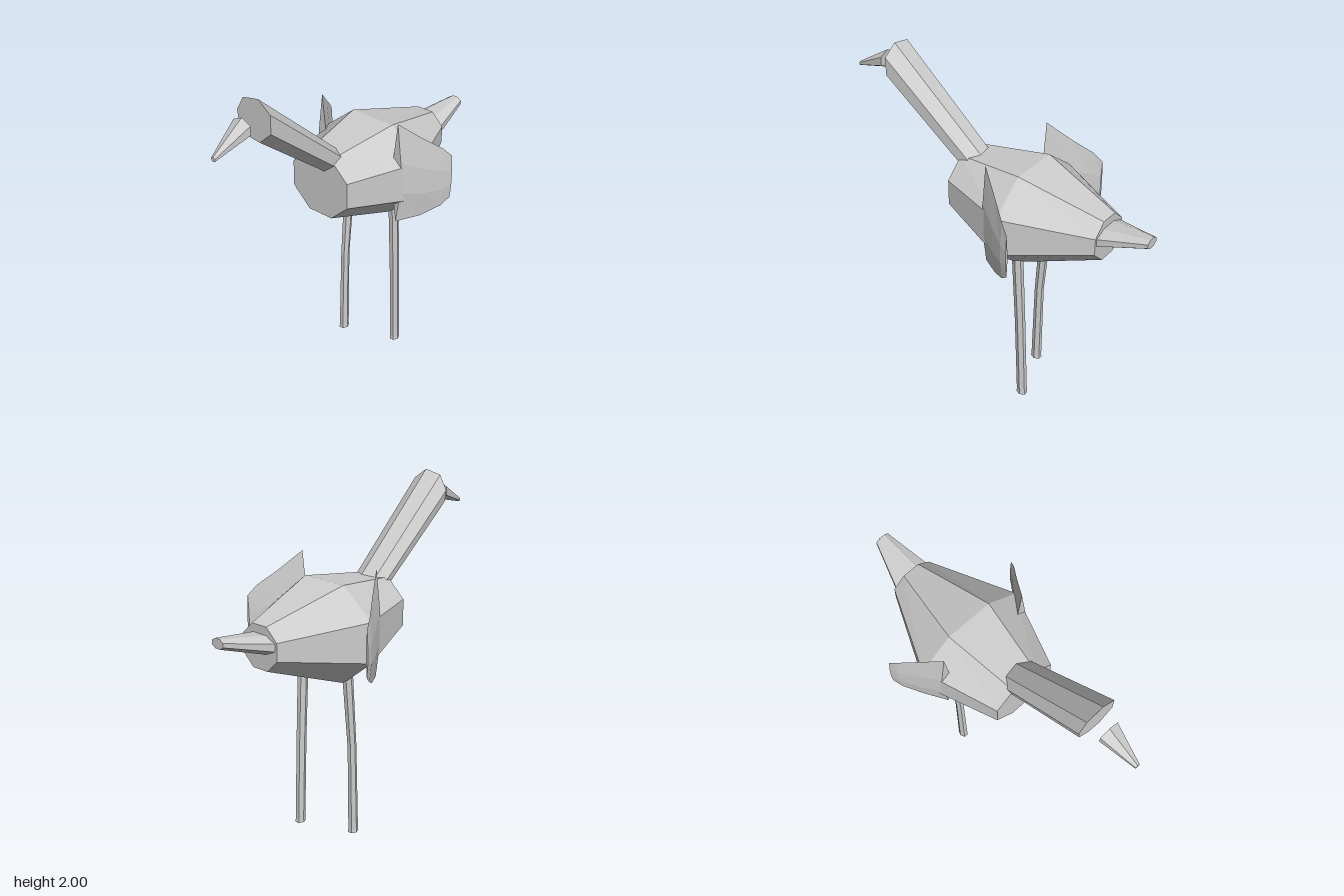
import * as THREE from 'three';

const grey = new THREE.MeshStandardMaterial({ color: 0xcccccc, flatShading: true });
grey.name = 'plain grey';

// Closed faceted skin over rings; rings run counter-clockwise seen from the last ring's end
function loft(name, rings) {
  const pos = [];
  const tri = (...pts) => pts.forEach((p) => pos.push(...p));
  const n = rings[0].length;
  for (let k = 0; k < rings.length - 1; k++) {
    const lo = rings[k], hi = rings[k + 1];
    for (let i = 0; i < n; i++) {
      const j = (i + 1) % n;
      tri(lo[i], lo[j], hi[j]);
      tri(lo[i], hi[j], hi[i]);
    }
  }
  const first = rings[0], last = rings[rings.length - 1];
  for (let i = 1; i < n - 1; i++) {
    tri(first[0], first[i + 1], first[i]);
    tri(last[0], last[i], last[i + 1]);
  }
  const geo = new THREE.BufferGeometry();
  geo.setAttribute('position', new THREE.Float32BufferAttribute(pos, 3));
  geo.computeVertexNormals();
  const mesh = new THREE.Mesh(geo, grey);
  mesh.name = name;
  return mesh;
}

// Outline stretched to half-sizes (hx, hy) around (x, y) at depth z
const section = (outline, x, y, z, hx, hy) => outline.map(([u, v]) => [x + u * hx, y + v * hy, z]);

const T = Math.SQRT2 - 1;
const OCTAGON = [[1, -T], [1, T], [T, 1], [-T, 1], [-1, T], [-1, -T], [-T, -1], [T, -1]];
const NECK = [[1, -0.38], [1, 0.5], [0.3, 1], [-0.6, 0.82], [-1, 0.12], [-0.92, -0.45], [-0.35, -0.93], [0.3, -1]];
const BEAK = [[1, -0.45], [1, 0.5], [0, 1], [-1, 0.5], [-1, -0.45], [0, -1]];
const WING = [[1, -0.38], [1, 0.25], [0, 1], [-1, 0.25], [-1, -0.38], [0, -1]];

// Wing: a blade, thick in front and thin at the swept-back rim
function wing(name, side) {
  const rings = [
    section(WING, side * 0.455, 1.245, -0.385, 0.007, 0.135),
    section(WING, side * 0.43, 1.25, -0.335, 0.014, 0.185),
    section(WING, side * 0.36, 1.265, -0.235, 0.024, 0.25),
    section(WING, side * 0.28, 1.31, -0.113, 0.028, 0.312),
  ];
  return loft(name, rings);
}

// Leg: thin six-sided stick with a slight knee; rows are [y, z, radius]
function leg(name, x, rows) {
  const rings = rows.map(([y, z, r]) => Array.from({ length: 6 }, (_, i) => {
    const a = (i / 6) * Math.PI * 2;
    return [x + Math.cos(a) * r * 0.95, y, z - Math.sin(a) * r * 1.2];
  }));
  return loft(name, rings);
}

export function createModel() {
  const bird = new THREE.Group();
  bird.name = 'longLeggedBird';

  // Barrel body, widest behind the middle
  bird.add(loft('body', [
    section(OCTAGON, 0, 1.265, -0.725, 0.13, 0.125),
    section(OCTAGON, 0, 1.24, -0.23, 0.35, 0.285),
    section(OCTAGON, 0, 1.277, 0.215, 0.2, 0.187),
  ]));

  // Flattened tail
  bird.add(loft('tail', [
    section(OCTAGON, 0.018, 1.353, -1, 0.043, 0.028),
    section(OCTAGON, 0, 1.285, -0.71, 0.12, 0.055),
  ]));

  // Slanting neck, cut off upright in front
  bird.add(loft('neck', [
    section(NECK, 0, 1.375, 0.1, 0.1, 0.09),
    section(NECK, 0.011, 1.878, 0.705, 0.119, 0.122),
  ]));

  // Beak, floating just ahead of the neck
  bird.add(loft('beak', [
    section(BEAK, 0.015, 1.865, 0.79, 0.06, 0.055),
    section(BEAK, 0.023, 1.773, 1, 0.014, 0.014),
  ]));

  bird.add(wing('leftWing', 1), wing('rightWing', -1));

  // Striding legs
  bird.add(
    leg('leftLeg', 0.16, [[0, -0.285, 0.029], [0.02, -0.285, 0.027], [0.55, -0.265, 0.027], [1.05, -0.24, 0.029]]),
    leg('rightLeg', -0.158, [[0, -0.165, 0.029], [0.02, -0.165, 0.027], [0.55, -0.175, 0.024], [1.05, -0.215, 0.029]]),
  );
  return bird;
}
